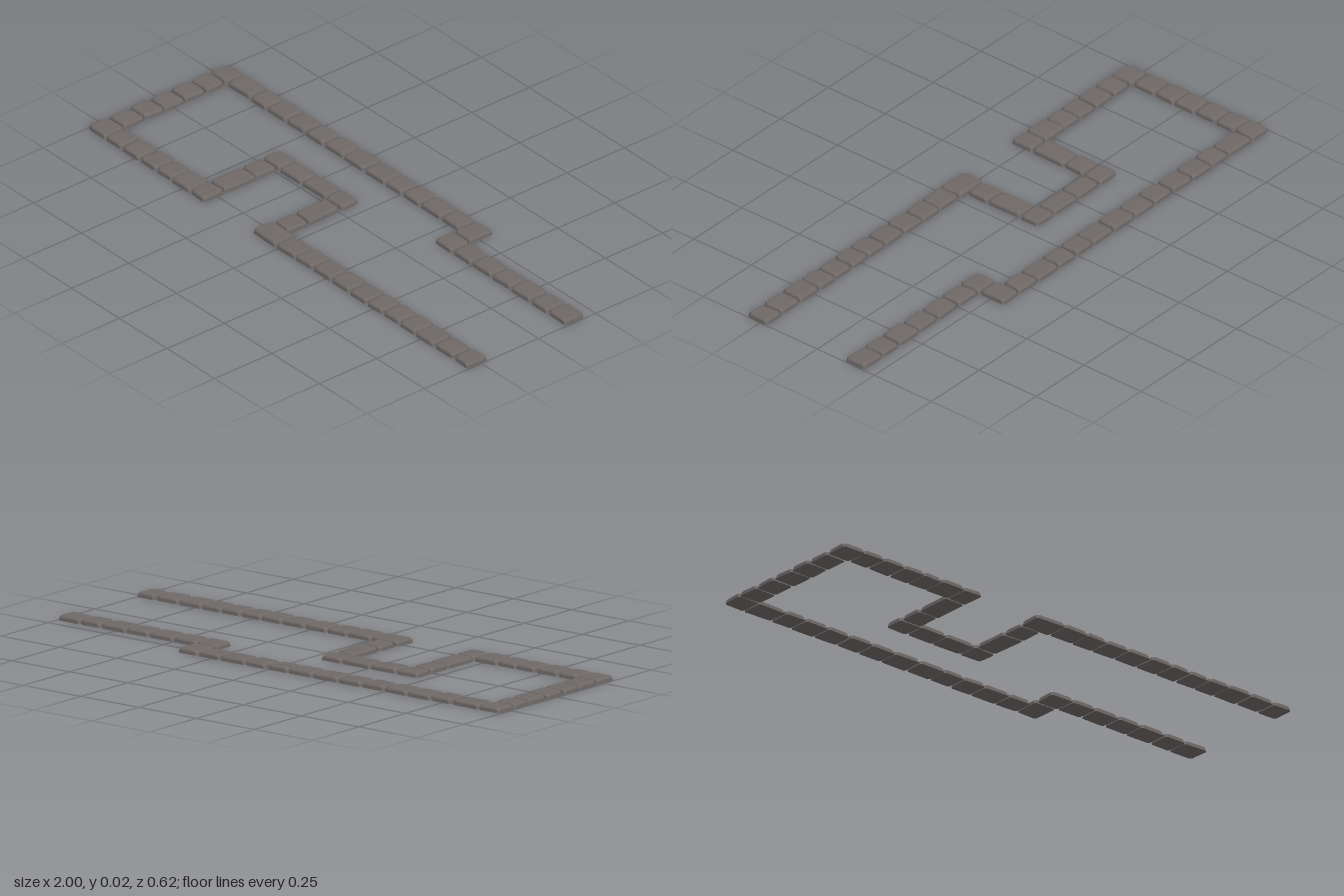
import * as THREE from 'three';

const HEIGHT = 0.018;

export function createModel() {
  const root = new THREE.Group();
  root.name = 'stoneBorder';
  const material = new THREE.MeshStandardMaterial({ color: 0x6e6866, flatShading: true });

  // small seeded generator for the hand-cut irregularity, -1 to 1
  let seed = 17;
  const wobble = () => {
    seed = (seed * 16807) % 2147483647;
    return (seed / 2147483647) * 2 - 1;
  };

  // one paving stone: clipped-corner outlines stacked from base to worn top
  function stone(x0, x1, z0, z1) {
    const cx = (x0 + x1) / 2, cz = (z0 + z1) / 2;
    const w = (x1 - x0) / 2, d = (z1 - z0) / 2;
    const corners = [[-1, -1], [-1, 1], [1, 1], [1, -1]].map(([sx, sz]) => [
      sx * (w - 0.0025 + 0.0025 * wobble()),
      sz * (d - 0.0025 + 0.0025 * wobble()),
    ]);
    const tiltX = 0.0012 * wobble(), tiltZ = 0.0012 * wobble();

    // each layer: height, inset from the outline, corner clip
    const layers = [[0, 0, 0.006], [0.011, 0.001, 0.009], [0.0155, 0.004, 0.011], [HEIGHT - 0.001, 0.011, 0.012]];
    const position = [], index = [];
    layers.forEach(([y, inset, clip]) => {
      corners.forEach(([px, pz], i) => {
        const sx = Math.sign(px), sz = Math.sign(pz);
        const x = px - sx * inset, z = pz - sz * inset;
        const a = [x - sx * clip, z], b = [x, z - sz * clip];
        // keep the outline running the same way round at every corner
        for (const [qx, qz] of i % 2 ? [b, a] : [a, b]) {
          const lift = y > 0 ? (tiltX * qx / w + tiltZ * qz / d) * 0.5 * (y / HEIGHT) : 0;
          position.push(cx + qx, y + lift, cz + qz);
        }
      });
    });
    const n = 8, top = (layers.length - 1) * n;
    for (let l = 0; l < layers.length - 1; l++) {
      for (let i = 0; i < n; i++) {
        const a = l * n + i, b = l * n + (i + 1) % n;
        index.push(a, b, b + n, a, b + n, a + n);
      }
    }
    for (let i = 1; i < n - 1; i++) {
      index.push(top, top + i, top + i + 1);
      index.push(0, i + 1, i);
    }
    const geometry = new THREE.BufferGeometry();
    geometry.setAttribute('position', new THREE.Float32BufferAttribute(position, 3));
    geometry.setIndex(index);
    geometry.computeVertexNormals();
    const mesh = new THREE.Mesh(geometry, material);
    mesh.name = 'stone';
    return mesh;
  }

  // a straight run of stones: joints along one axis, band limits across it
  function run(name, axis, low, high, joints) {
    const group = new THREE.Group();
    group.name = name;
    for (let i = 0; i < joints.length - 1; i++) {
      const a = joints[i], b = joints[i + 1];
      group.add(axis === 'x' ? stone(a, b, low, high) : stone(low, high, a, b));
    }
    root.add(group);
  }

  // back edge and its step forward
  run('backRow', 'x', -0.31, -0.225,
    [-1, -0.91, -0.79, -0.7, -0.6, -0.5, -0.4, -0.3, -0.19, -0.08, 0.01, 0.1, 0.21, 0.305]);
  run('backCorner', 'z', 0.305, 0.395, [-0.31, -0.205]);
  run('steppedRow', 'x', -0.205, -0.12, [0.305, 0.4, 0.5, 0.605, 0.705, 0.81, 0.9, 1]);

  // closed end
  run('endColumn', 'z', -1, -0.91, [-0.225, -0.14, -0.05, 0.04, 0.125, 0.22]);

  // front edge with the notch
  run('frontShortRow', 'x', 0.22, 0.31, [-1, -0.905, -0.82, -0.725, -0.64, -0.56, -0.46, -0.38]);
  run('notchColumnRight', 'z', -0.465, -0.38, [-0.01, 0.08, 0.22]);
  run('notchRow', 'x', -0.09, -0.01, [-0.465, -0.375, -0.26, -0.135, -0.045]);
  run('notchColumnLeft', 'z', -0.13, -0.045, [-0.01, 0.13, 0.22]);
  run('frontLongRow', 'x', 0.22, 0.31,
    [-0.135, -0.01, 0.09, 0.18, 0.275, 0.375, 0.465, 0.55, 0.635, 0.72, 0.82, 0.92, 1]);

  return root;
}
